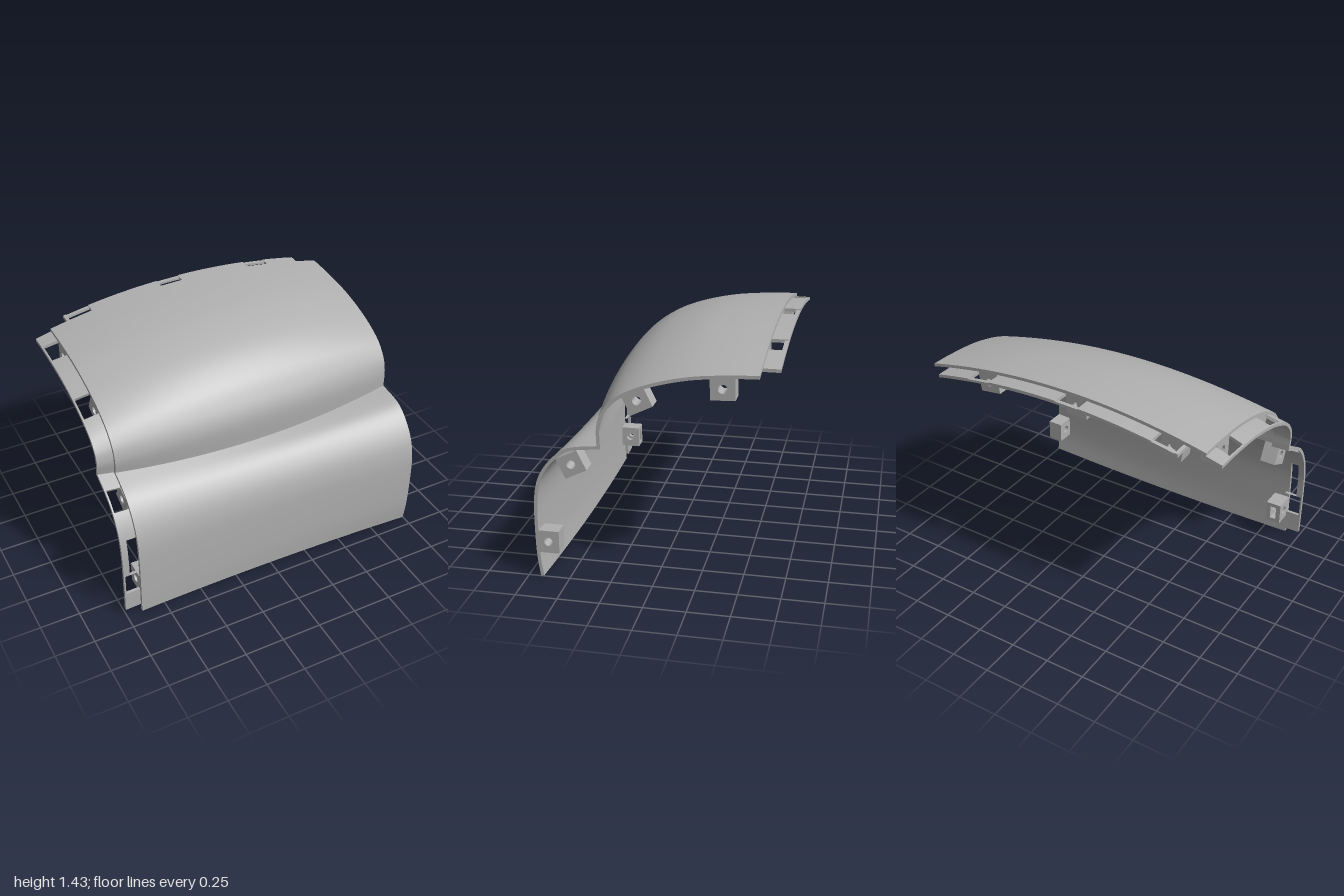
import * as THREE from 'three';
import { toCreasedNormals } from 'three/addons/utils/BufferGeometryUtils.js';

const NL = 40, NU = 50, NE = 4;          // profile steps: lower, upper, rear lip
const SEAM = NL, REAR = NL + NU, LIP = REAR + NE;

// Profile control points [z, y] at three stations across the width
const STATIONS = [
  { x: -0.9,
    lower: [[.655, 0], [.66, .165], [.66, .43], [.645, .57], [.61, .67], [.55, .76], [.48, .82], [.365, .88]],
    upper: [[.365, .88], [.372, .97], [.34, 1.06], [.25, 1.15], [.07, 1.235], [-.17, 1.295], [-.42, 1.32], [-.6, 1.325]] },
  { x: 0,
    lower: [[.645, 0], [.655, .165], [.655, .43], [.643, .56], [.61, .655], [.55, .74], [.485, .79], [.402, .825]],
    upper: [[.402, .825], [.404, 1.0], [.347, 1.125], [.252, 1.235], [.1, 1.33], [-.127, 1.398], [-.355, 1.425], [-.6, 1.433]] },
  { x: 1,
    lower: [[.677, 0], [.696, .165], [.7, .43], [.685, .575], [.647, .673], [.575, .765], [.48, .828], [.313, .852]],
    upper: [[.313, .852], [.313, .962], [.283, 1.057], [.195, 1.152], [.025, 1.232], [-.2, 1.29], [-.43, 1.315], [-.6, 1.322]] },
];

function sampleStation({ lower, upper }) {
  const curve = (pts, n) => new THREE.SplineCurve(pts.map(p => new THREE.Vector2(...p))).getPoints(n);
  const pts = [...curve(lower, NL), ...curve(upper, NU).slice(1)];
  const end = pts[REAR];
  for (let k = 1; k <= NE; k++) pts.push(new THREE.Vector2(end.x - 0.1 * k / NE, end.y));
  return pts;
}
const SAMPLES = STATIONS.map(sampleStation);

// Profile at any x, blended smoothly through the three stations
function profileAt(x) {
  const w = STATIONS.map((s, i) => STATIONS.reduce((m, o, k) => k === i ? m : m * (x - o.x) / (s.x - o.x), 1));
  return SAMPLES[0].map((_, j) => {
    const p = new THREE.Vector2();
    SAMPLES.forEach((s, i) => p.addScaledVector(s[j], w[i]));
    return p;
  });
}

// Move the profile inward, mitred at the seam
function inset(pts, d) {
  const normal = j => {
    const t = pts[j + 1].clone().sub(pts[j]).normalize();
    return new THREE.Vector2(t.y, -t.x);
  };
  return pts.map((p, j) => {
    const a = normal(Math.max(0, j - 1)), b = normal(Math.min(pts.length - 2, j));
    return p.clone().addScaledVector(a.clone().add(b), -d / (1 + a.dot(b)));
  });
}

// Closed curved plate over x0..x1, profile steps j0..j1 and depths d0..d1
function slab(x0, x1, j0, j1, d0, d1) {
  const nx = Math.max(1, Math.ceil((x1 - x0) * 14)), n = j1 - j0 + 1, ring = 2 * n;
  const pos = [], idx = [];
  for (let i = 0; i <= nx; i++) {
    const x = x0 + (x1 - x0) * i / nx, prof = profileAt(x);
    const outer = inset(prof, d0).slice(j0, j1 + 1);
    const inner = inset(prof, d1).slice(j0, j1 + 1).reverse();
    for (const p of [...outer, ...inner]) pos.push(x, p.y, p.x);
  }
  for (let i = 0; i < nx; i++) for (let k = 0; k < ring; k++) {
    const a = i * ring + k, b = i * ring + (k + 1) % ring;
    idx.push(a, a + ring, b + ring, a, b + ring, b);
  }
  for (let k = 0; k < n - 1; k++) {
    const o = k, o2 = k + 1, q = ring - 1 - k, q2 = ring - 2 - k, e = nx * ring;
    idx.push(q + e, q2 + e, o2 + e, q + e, o2 + e, o + e);
    idx.push(q, o2, q2, q, o, o2);
  }
  const g = new THREE.BufferGeometry();
  g.setAttribute('position', new THREE.Float32BufferAttribute(pos, 3));
  g.setIndex(idx);
  return toCreasedNormals(g, 0.5);
}

export function createModel() {
  const grey = new THREE.MeshStandardMaterial({ color: 0xb0b0b0 });
  grey.name = 'grey';
  const model = new THREE.Group();
  model.name = 'curvedPanel';
  const add = (parent, name, geo) => {
    const m = new THREE.Mesh(geo, grey);
    m.name = name;
    parent.add(m);
    return m;
  };

  // Main skin
  add(model, 'panelSkin', slab(-0.9, 1, 0, REAR, 0, 0.02));

  // Side flange with windows [from, to, inner x of the strip left standing]
  const edge = profileAt(-0.95);
  const atY = y => edge.findIndex(p => p.y >= y);
  const atZ = z => edge.findIndex(p => p.x <= z);
  const sideFlange = new THREE.Group();
  sideFlange.name = 'sideFlange';
  model.add(sideFlange);
  const windows = [
    [atY(.14), atY(.29), -.99], [atY(.31), atY(.57), -.96],
    [atZ(.56), atZ(.45), -.99], [atZ(.17), atZ(.03), -.99], [atZ(-.32), atZ(-.48), -.99],
  ];
  let from = atY(0.03);
  for (const [a, b, x] of windows) {
    add(sideFlange, 'flangeStrip', slab(-1, -0.88, from, a, 0.02, 0.04));
    add(sideFlange, 'windowRail', slab(-1, x, a, b, 0.02, 0.04));
    from = b;
  }
  add(sideFlange, 'flangeStrip', slab(-1, -0.88, from, REAR, 0.02, 0.04));

  // Rear flange with three windows
  const rearFlange = new THREE.Group();
  rearFlange.name = 'rearFlange';
  model.add(rearFlange);
  let left = -0.78;
  for (const [a, b] of [[-.76, -.61], [-.13, .02], [.5, .65]]) {
    add(rearFlange, 'flangeStrip', slab(left, a, REAR - 1, LIP, 0.02, 0.04));
    add(rearFlange, 'windowRail', slab(a, b, LIP - 1, LIP, 0.025, 0.04));
    left = b;
  }
  add(rearFlange, 'flangeStrip', slab(left, 0.88, REAR - 1, LIP, 0.02, 0.04));

  // Mounting block: bolt hole along axis, top towards the skin
  const W = 0.07, H = 0.065, D = 0.1;
  const drilled = new THREE.Shape([[-W, -H], [W, -H], [W, H], [-W, H]].map(p => new THREE.Vector2(...p)));
  drilled.holes.push(new THREE.Path().absarc(0, 0, 0.026, 0, Math.PI * 2, true));
  const notched = new THREE.Shape([[-W, -H], [-.045, -H], [-.045, .035], [.045, .035], [.045, -H], [W, -H], [W, H], [-W, H]]
    .map(p => new THREE.Vector2(...p)));
  const layer = (shape, z, depth) =>
    new THREE.ExtrudeGeometry(shape, { depth, bevelEnabled: false, curveSegments: 10 }).translate(0, 0, z - D / 2);
  function block(name, centre, axis, up, pocket) {
    const g = new THREE.Group();
    g.name = name;
    if (pocket) {
      add(g, 'backPlate', layer(drilled, 0, 0.03));
      add(g, 'nutPocket', layer(notched, 0.03, 0.04));
      add(g, 'frontPlate', layer(drilled, 0.07, 0.03));
    } else add(g, 'drilledBlock', layer(drilled, 0, D));
    const a = new THREE.Vector3(...axis), u = new THREE.Vector3(...up).normalize();
    const t = new THREE.Vector3().crossVectors(u, a).normalize();
    g.quaternion.setFromRotationMatrix(new THREE.Matrix4().makeBasis(t, u, a));
    g.position.set(...centre);
    model.add(g);
  }
  const tilt = [0, .9, .44];
  // [y, z at the plain edge, y, z at the flange edge, direction of the skin]
  for (const [y, z, y2, z2, up] of [
    [.226, .622, .212, .578, [0, 0, 1]], [.727, .467, .735, .44, tilt],
    [1.137, .078, 1.145, .085, tilt], [1.235, -.4, 1.238, -.4, [0, 1, .035]],
  ]) {
    block('plainEdgeBlock', [.95, y, z], [1, 0, 0], up, false);
    block('flangeEdgeBlock', [-.85, y2, z2], [-1, 0, 0], up, true);
  }
  for (const x of [-.685, -.055, .575]) {
    const y = profileAt(x)[REAR].y;
    block('rearBlock', [x, y - 0.083, -.55], [0, 0, -1], [.22 * x, 1, 0], true);
  }
  return model;
}
